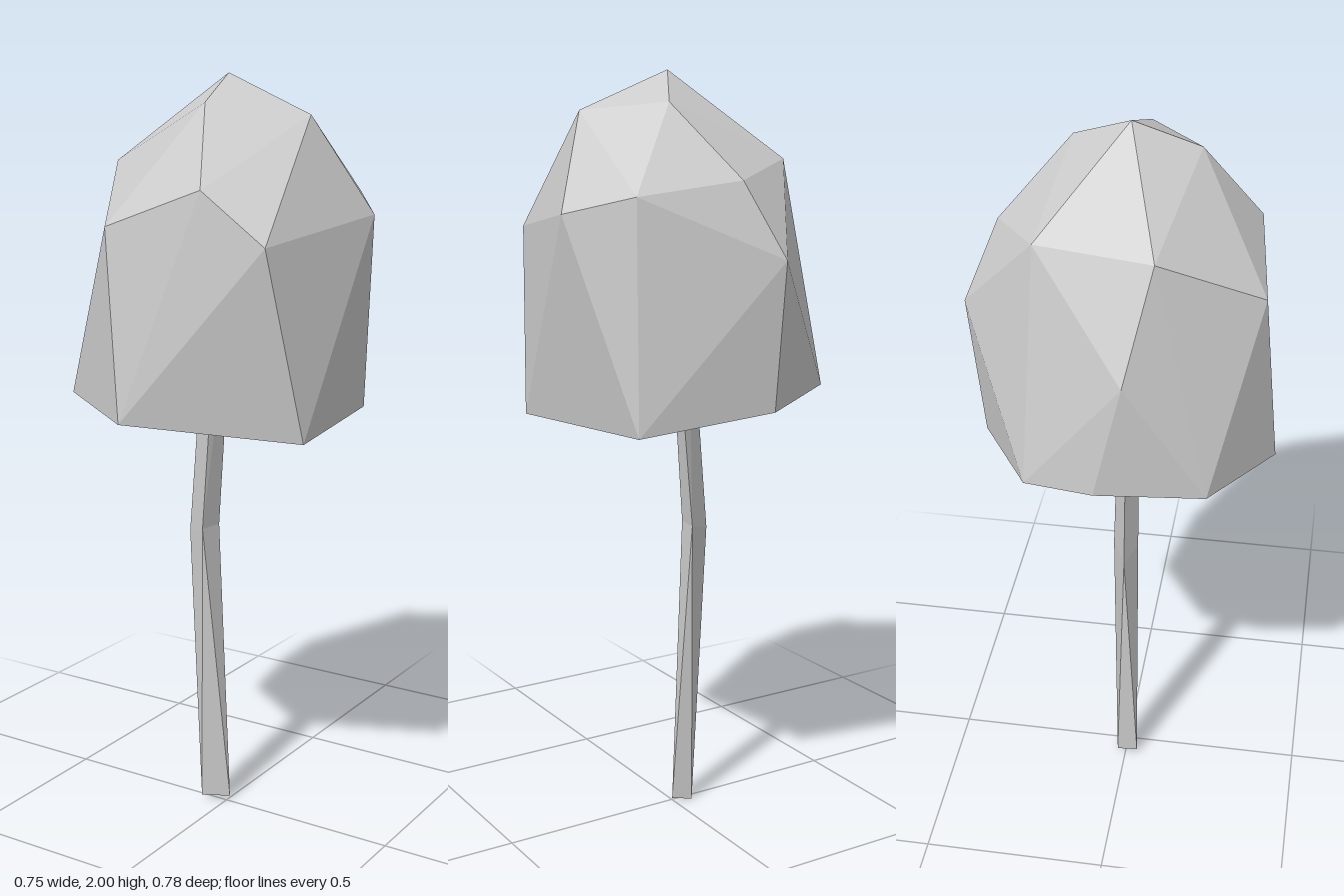
import * as THREE from 'three';
import { ConvexGeometry } from 'three/addons/geometries/ConvexGeometry.js';

const material = new THREE.MeshStandardMaterial({ color: 0xcccccc, flatShading: true });
const points = (list) => list.map((p) => new THREE.Vector3(...p));

// Flat-shaded mesh from a list of triangle corners
function facetMesh(name, corners) {
  const geometry = new THREE.BufferGeometry().setFromPoints(corners);
  geometry.computeVertexNormals();
  const mesh = new THREE.Mesh(geometry, material);
  mesh.name = name;
  return mesh;
}

// Triangles joining two closed rings of equal length
function band(a, b) {
  const out = [];
  a.forEach((p, i) => {
    const j = (i + 1) % a.length;
    out.push(p, a[j], b[j], p, b[j], b[i]);
  });
  return out;
}

// Triangles from a closed ring to one point
function fan(ring, tip) {
  return ring.flatMap((p, i) => [p, ring[(i + 1) % ring.length], tip]);
}

export function createModel() {
  const group = new THREE.Group();
  group.name = 'mushroom';

  // Cap: faceted irregular dome, open at the rim
  const rim = points([
    [0.34, 1.115, 0.185], [-0.07, 1.155, 0.39], [-0.325, 1.185, 0.24], [-0.38, 1.205, -0.03],
    [-0.335, 1.19, -0.21], [-0.08, 1.165, -0.36], [0.265, 1.12, -0.278],
  ]);
  const dome = points([
    [0.01, 2, 0.005],
    [0.1, 1.92, -0.15], [0.257, 1.9, 0.02], [0.046, 1.93, 0.17], [-0.27, 1.78, 0.1], [-0.213, 1.78, -0.193],
    [-0.005, 1.735, -0.32], [0.255, 1.7, -0.255], [0.375, 1.655, -0.1], [0.287, 1.6, 0.285],
    [0.125, 1.73, 0.314], [-0.13, 1.635, 0.35], [-0.376, 1.51, 0.04], [-0.085, 1.545, -0.395],
  ]);
  const hull = new ConvexGeometry([...rim, ...dome]).getAttribute('position');
  const capFaces = [];
  for (let i = 0; i < hull.count; i += 3) {
    const face = [0, 1, 2].map((k) => new THREE.Vector3().fromBufferAttribute(hull, i + k));
    if (face.some((p) => p.y > 1.25)) capFaces.push(...face);
  }
  group.add(facetMesh('cap', capFaces));

  // Underside: bevelled lip, then a hollow rising to a point
  const lip = rim.map((p) => new THREE.Vector3(p.x * 0.86, p.y + 0.04, p.z * 0.86));
  group.add(facetMesh('capLip', band(rim, lip)));
  group.add(facetMesh('capUnderside', fan(lip, new THREE.Vector3(0, 1.5, 0))));

  // Stem: bent, twisted three-sided stalk
  const sections = [
    [[-0.06, 0.015, 0.035], [0.005, 0.01, -0.01], [-0.05, 0, -0.025]],
    [[-0.115, 0.78, 0.005], [-0.055, 0.8, 0.035], [-0.045, 0.8, -0.033]],
    [[-0.055, 1.5, 0.005], [-0.005, 1.5, 0.03], [0.01, 1.5, -0.02]],
  ].map(points);
  const [foot, bend, top] = sections;
  group.add(facetMesh('stem', [
    ...band(foot, bend), ...band(bend, top),
    foot[2], foot[1], foot[0], ...top,
  ]));

  return group;
}
